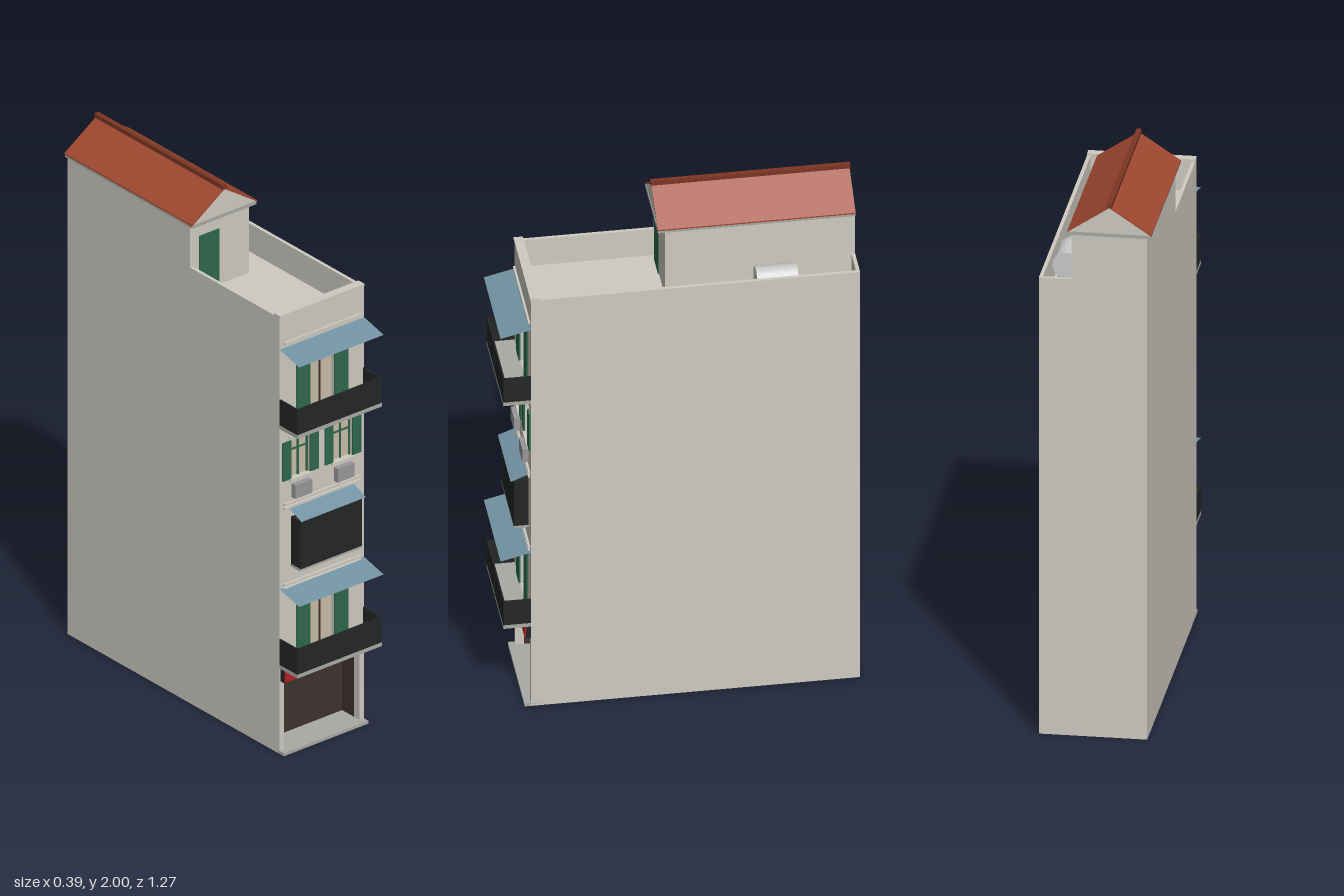
import * as THREE from 'three';

const mat = (color, double = false) => new THREE.MeshStandardMaterial({
  color, flatShading: true, side: double ? THREE.DoubleSide : THREE.FrontSide,
});
const M = {
  wall: mat(0xcecbc1, true), grey: mat(0xcccccc), slab: mat(0xa9a9a5), green: mat(0x2f684e),
  black: mat(0x232725), brown: mat(0x3e322e), red: mat(0xb52222), pane: mat(0xc8bca6),
  blue: mat(0x7393a3, true), tile: mat(0xa04830, true), ridge: mat(0x7c3523), ac: mat(0x98989a),
};
const L = -0.185, R = 0.195, FRONT = 0.525, BACK = -0.63, TOP = 1.71, DECK = 1.6, CX = 0.005;

export function createModel() {
  const model = new THREE.Group();

  const add = (name, geometry, material, parent = model) => {
    const mesh = new THREE.Mesh(geometry, material);
    mesh.name = name;
    parent.add(mesh);
    return mesh;
  };
  // Box given by its limits on each axis
  const box = (name, x0, x1, y0, y1, z0, z1, material, parent) => {
    const g = new THREE.BoxGeometry(x1 - x0, y1 - y0, z1 - z0);
    g.translate((x0 + x1) / 2, (y0 + y1) / 2, (z0 + z1) / 2);
    return add(name, g, material, parent);
  };
  const rect = (Type, x0, x1, y0, y1) => new Type([
    [x0, y0], [x1, y0], [x1, y1], [x0, y1]].map(([x, y]) => new THREE.Vector2(x, y)));
  const group = (name) => {
    const g = new THREE.Group();
    g.name = name;
    model.add(g);
    return g;
  };

  // Facade with openings for the shop, balcony doors and small windows
  const doors = [0.35, 1.29], windows = [-0.0925, 0.0975];
  const facade = rect(THREE.Shape, L, R, 0, TOP);
  facade.holes.push(rect(THREE.Path, -0.165, 0.175, 0.004, 0.275));
  doors.forEach((y) => facade.holes.push(rect(THREE.Path, -0.05, 0.06, y, y + 0.25)));
  windows.forEach((x) => facade.holes.push(rect(THREE.Path, x - 0.043, x + 0.043, 1.063, 1.215)));
  const facadeGeo = new THREE.ExtrudeGeometry(facade, { depth: 0.03, bevelEnabled: false });
  facadeGeo.translate(0, 0, FRONT - 0.03);
  add('facade', facadeGeo, M.wall);

  // Side and rear walls around an open underside, with the roof terrace
  box('rightWall', L, L + 0.013, 0, TOP, BACK, FRONT - 0.03, M.wall);
  box('leftWall', R - 0.013, R, 0, TOP, BACK, FRONT - 0.03, M.wall);
  box('rearWall', L + 0.013, R - 0.013, 0, TOP, BACK, BACK + 0.013, M.wall);
  box('terraceFloor', L + 0.013, R - 0.013, DECK - 0.02, DECK, BACK + 0.013, FRONT - 0.03, M.wall);
  box('parapetCoping', L, R, TOP, TOP + 0.008, FRONT - 0.03, FRONT + 0.003, M.wall);

  // Recessed shopfront
  const shop = group('shopfront');
  box('shopShutter', -0.165, 0.175, 0.004, 0.275, 0.42, 0.43, M.brown, shop);
  box('shopSide', -0.172, -0.165, 0.004, 0.275, 0.42, 0.495, M.brown, shop);
  box('shopSide', 0.175, 0.182, 0.004, 0.275, 0.42, 0.495, M.brown, shop);
  box('shopCeiling', -0.172, 0.182, 0.275, 0.282, 0.42, 0.495, M.brown, shop);
  box('doorStep', L, R, 0, 0.012, 0.42, 0.548, M.slab, shop);
  box('signBacking', -0.18, 0.19, 0.283, 0.335, FRONT, 0.542, M.black, shop);
  box('signPanel', -0.176, 0.186, 0.285, 0.333, 0.542, 0.546, M.red, shop);

  // Sloping awning, made as a thin sheet
  const awning = (x0, x1, yTop, drop, reach) => {
    const sheet = new THREE.PlaneGeometry(x1 - x0, Math.hypot(drop, reach));
    sheet.rotateX(-Math.atan2(reach, drop));
    sheet.translate((x0 + x1) / 2, yTop - drop / 2, FRONT + reach / 2);
    add('awning', sheet, M.blue);
  };

  // Balcony floors: double door, shutters, railing and awning
  for (const y of doors) {
    const b = group('balcony');
    box('balconySlab', L, R, y - 0.015, y, FRONT, 0.622, M.slab, b);
    box('frontRailing', L, R, y, y + 0.1, 0.617, 0.622, M.black, b);
    box('railingSide', L, L + 0.005, y, y + 0.1, FRONT, 0.617, M.black, b);
    box('railingSide', R - 0.005, R, y, y + 0.1, FRONT, 0.617, M.black, b);
    box('railingPost', CX - 0.003, CX + 0.003, y, y + 0.1, 0.622, 0.624, M.black, b);
    box('doorPanes', -0.05, 0.06, y, y + 0.25, 0.5, 0.51, M.pane, b);
    box('doorMullion', CX - 0.003, CX + 0.003, y, y + 0.25, 0.51, 0.514, M.brown, b);
    for (const s of [-1, 1]) {
      const x = CX + s * 0.086;
      box('shutter', x - 0.031, x + 0.031, y, y + 0.25, FRONT, 0.53, M.green, b);
    }
    box('lintel', -0.12, 0.13, y + 0.25, y + 0.258, FRONT, 0.531, M.wall, b);
    awning(L, R, y + 0.296, 0.026, 0.107);
  }

  // Pair of shuttered windows, each with an air conditioner below
  for (const x of windows) {
    const w = group('window');
    box('panes', x - 0.043, x + 0.043, 1.063, 1.215, 0.5, 0.51, M.pane, w);
    box('mullion', x - 0.003, x + 0.003, 1.063, 1.215, 0.51, 0.515, M.green, w);
    box('transom', x - 0.043, x + 0.043, 1.167, 1.173, 0.51, 0.515, M.green, w);
    for (const s of [-1, 1]) {
      box('windowFrame', x + s * 0.04 - 0.003, x + s * 0.04 + 0.003, 1.063, 1.215, 0.51, 0.515, M.green, w);
      const c = x + s * 0.062;
      box('shutter', c - 0.019, c + 0.019, 1.065, 1.215, FRONT, 0.53, M.green, w);
    }
    box('windowSill', x - 0.05, x + 0.05, 1.055, 1.063, FRONT, 0.533, M.wall, w);
    box('lintel', x - 0.05, x + 0.05, 1.222, 1.23, FRONT, 0.531, M.wall, w);
    box('airConditioner', x - 0.038, x + 0.038, 0.99, 1.043, FRONT, 0.546, M.ac, w);
  }

  // Projecting window cage
  box('windowCage', -0.133, 0.142, 0.728, 0.915, FRONT, 0.577, M.black);
  box('cageBase', -0.135, 0.144, 0.72, 0.728, FRONT, 0.577, M.slab);
  awning(-0.14, 0.15, 0.947, 0.026, 0.065);

  // String courses across the facade
  for (const y of [0.642, 0.658, 0.957, 0.973, 1.605]) {
    box('stringCourse', -0.168, 0.178, y - 0.004, y + 0.004, FRONT, 0.533, M.wall);
  }

  // Rooftop room with door and eaves
  box('rooftopRoom', L, 0.08, DECK, 1.876, BACK, 0.037, M.wall);
  box('rooftopDoor', -0.145, -0.055, DECK, 1.82, 0.037, 0.041, M.green);
  box('eaves', -0.197, 0.093, 1.876, 1.889, BACK, 0.064, M.slab);

  // Gabled tile roof
  const mid = -0.052;
  const prism = (name, points, z0, z1, material) => {
    const shape = new THREE.Shape(points.map(([x, y]) => new THREE.Vector2(x, y)));
    const g = new THREE.ExtrudeGeometry(shape, { depth: z1 - z0, bevelEnabled: false });
    g.translate(0, 0, z0);
    add(name, g, material);
  };
  prism('gable', [[-0.195, 1.889], [0.091, 1.889], [mid, 1.984]], BACK, 0.062, M.wall);
  for (const s of [-1, 1]) {
    const e = mid + s * 0.147;
    prism('roofSlope', [[e, 1.886], [mid, 1.984], [mid, 1.989], [e, 1.891]], BACK, 0.065, M.tile);
  }
  box('ridgeCap', mid - 0.009, mid + 0.009, 1.984, 2.0, -0.633, 0.068, M.ridge);

  // Water tank lying on the terrace
  const tank = new THREE.CylinderGeometry(0.048, 0.048, 0.145, 20);
  tank.rotateX(Math.PI / 2);
  tank.translate(0.132, 1.672, -0.345);
  const tankMat = M.grey.clone();
  tankMat.flatShading = false;
  add('waterTank', tank, tankMat);
  for (const z of [-0.39, -0.3]) box('tankStand', 0.1, 0.165, DECK, 1.64, z - 0.008, z + 0.008, M.slab);

  return model;
}
